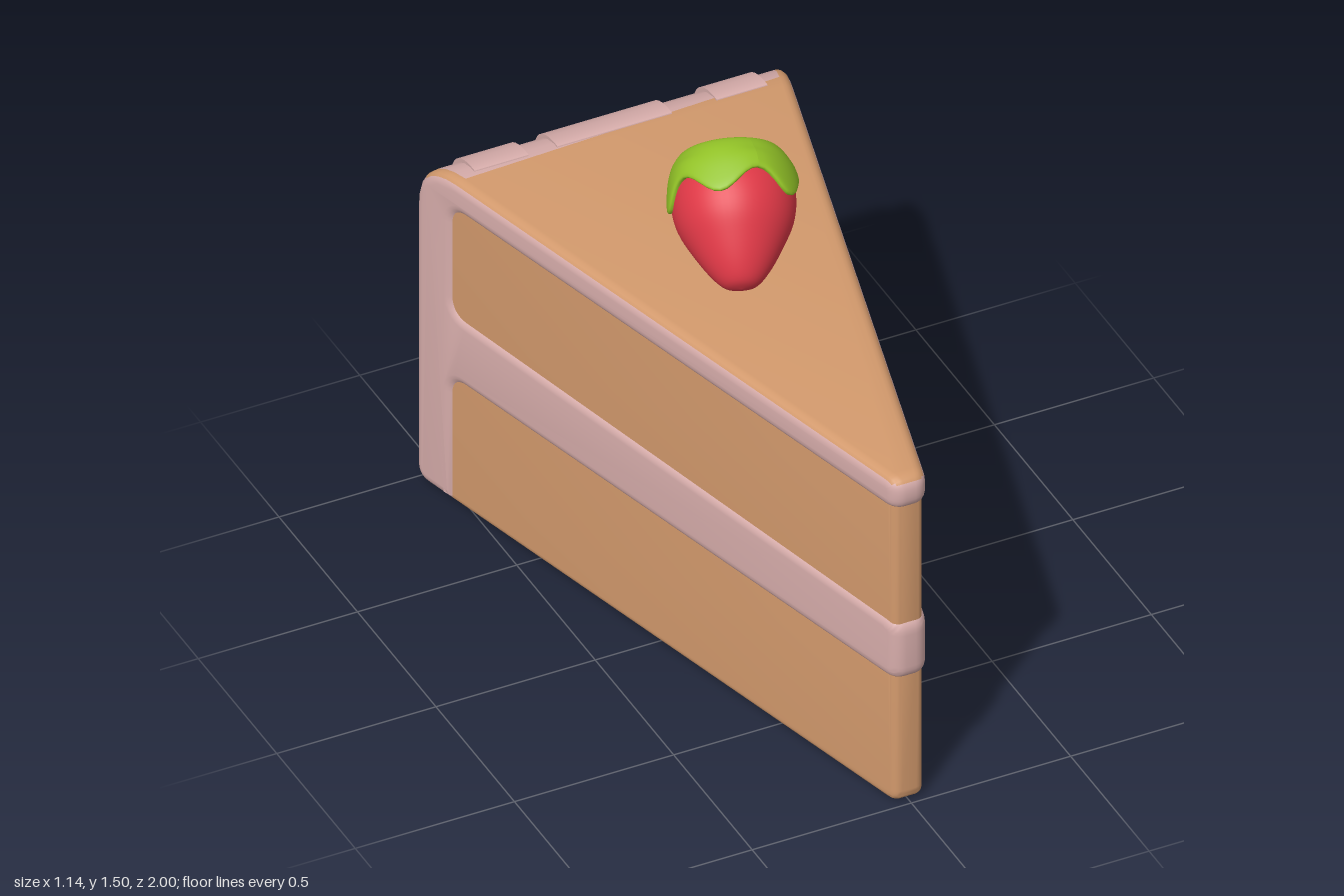
import * as THREE from 'three';
import { toCreasedNormals } from 'three/addons/utils/BufferGeometryUtils.js';

const mat = (name, color, side = THREE.FrontSide) => {
  const m = new THREE.MeshStandardMaterial({ color, side });
  m.name = name;
  return m;
};

// Half width of the slice at depth z
const halfWidth = (z) => 0.314 - 0.264 * z;

// Closed outline from [z, y, cornerRadius] points
function roundedShape(pts) {
  const shape = new THREE.Shape();
  pts.forEach(([x, y, r], i) => {
    const p = new THREE.Vector2(x, y);
    const toward = (q) => p.clone().add(new THREE.Vector2(q[0] - x, q[1] - y).setLength(r));
    const a = toward(pts[(i + pts.length - 1) % pts.length]);
    const b = toward(pts[(i + 1) % pts.length]);
    if (i === 0) shape.moveTo(a.x, a.y);
    else shape.lineTo(a.x, a.y);
    shape.quadraticCurveTo(x, y, b.x, b.y);
  });
  shape.closePath();
  return shape;
}

// Side outline extruded across x, then tapered to the wedge plan
function wedge(pts, bevel, inset) {
  const geo = new THREE.ExtrudeGeometry(roundedShape(pts), {
    depth: 2 - 2 * bevel, bevelThickness: bevel, bevelSize: bevel,
    bevelOffset: -bevel, bevelSegments: 5, curveSegments: 7,
  });
  geo.translate(0, 0, bevel - 1).rotateY(-Math.PI / 2);
  const p = geo.attributes.position;
  for (let i = 0; i < p.count; i++) {
    const x = p.getX(i);
    p.setX(i, Math.sign(x) * (halfWidth(p.getZ(i)) - inset - (1 - Math.abs(x))));
  }
  geo.clearGroups();
  return toCreasedNormals(geo, 0.7);
}

// Group 1 = upward faces on the top of the slice, group 0 = the rest
function splitTop(geo) {
  const p = geo.attributes.position;
  const v = [0, 1, 2].map(() => new THREE.Vector3());
  const tri = new THREE.Triangle(...v);
  const n = new THREE.Vector3(), c = new THREE.Vector3();
  let start = 0, last = -1;
  for (let i = 0; i < p.count; i += 3) {
    v.forEach((q, k) => q.fromBufferAttribute(p, i + k));
    tri.getNormal(n);
    tri.getMidpoint(c);
    const corner = Math.abs(c.x) > halfWidth(c.z) - 0.06 && c.z > -0.96;
    const kind = c.y > 1 && n.y > 0.5 && (c.z > -0.85 || corner) ? 1 : 0;
    if (kind !== last) {
      if (last >= 0) geo.addGroup(start, i - start, last);
      start = i;
      last = kind;
    }
  }
  geo.addGroup(start, p.count - start, last);
  return geo;
}

// Smooth profile of [radius, height] points turned about y
function turned(pts) {
  const curve = new THREE.SplineCurve(pts.map(([r, y]) => new THREE.Vector2(r, y)));
  const ring = curve.getPoints(36).map((q) => new THREE.Vector2(Math.max(q.x, 0), q.y));
  return new THREE.LatheGeometry(ring, 60);
}

export function createModel() {
  const sponge = mat('sponge tan', 0xd2996c);
  const icing = mat('icing pink', 0xd6acaa);
  const red = mat('berry red', 0xdf3846);
  const green = mat('leaf green', 0x92c227, THREE.DoubleSide);

  const model = new THREE.Group();
  model.name = 'cakeSlice';
  const add = (parent, name, geo, material) => {
    const mesh = new THREE.Mesh(geo, material);
    mesh.name = name;
    parent.add(mesh);
    return mesh;
  };

  // Icing: top layer, middle layer and back wall in one piece, tan on top
  const icingGeo = wedge([
    [1, 1.135, 0.05], [-1, 1.135, 0.17], [-1, 0.003, 0.06], [-0.84, 0.003, 0.02],
    [-0.84, 0.43, 0.05], [1, 0.43, 0.05], [1, 0.64, 0.05], [-0.84, 0.67, 0.05],
    [-0.84, 1.025, 0.05], [1, 1.025, 0.05],
  ], 0.035, 0);
  add(model, 'icing', splitTop(icingGeo), [icing, sponge]);

  // Sponge layers, tucked into the icing
  [['lowerSponge', 0, 0.49], ['upperSponge', 0.58, 1.08]].forEach(([name, y0, y1]) => {
    const geo = wedge([
      [0.987, y0, 0.04], [0.987, y1, 0.04], [-0.92, y1, 0.04], [-0.92, y0, 0.04],
    ], 0.022, 0.01);
    add(model, name, geo, sponge);
  });

  // Shallow smoothed bands of icing down the back
  const bandShape = roundedShape([
    [-0.85, 1.138, 0.005], [-1.003, 1.138, 0.145], [-1.003, 0.045, 0.005], [-0.85, 0.045, 0.005],
  ]);
  [[-0.46, -0.29], [-0.2, 0.16], [0.3, 0.46]].forEach(([x0, x1]) => {
    const geo = new THREE.ExtrudeGeometry(bandShape, { depth: x1 - x0, bevelEnabled: false, curveSegments: 10 });
    geo.rotateY(-Math.PI / 2).translate(x1, 0, 0);
    add(model, 'icingBand', toCreasedNormals(geo, 0.7), icing);
  });

  // Strawberry, lying with its tip toward the front
  const berry = new THREE.Group();
  berry.name = 'strawberry';
  berry.position.set(-0.04, 1.148, 0);
  berry.quaternion.setFromUnitVectors(
    new THREE.Vector3(0, 1, 0), new THREE.Vector3(0.11, 0.22, -0.3).normalize());
  model.add(berry);

  add(berry, 'berryBody', turned([
    [0, 0], [0.045, 0.01], [0.085, 0.05], [0.13, 0.12], [0.165, 0.19],
    [0.177, 0.26], [0.165, 0.32], [0.11, 0.36], [0, 0.37],
  ]), red);

  // Leaf cap with a scalloped rim and a dimple on top
  const cap = turned([
    [0.165, 0.275], [0.186, 0.272], [0.188, 0.3], [0.175, 0.355],
    [0.14, 0.405], [0.1, 0.408], [0.05, 0.385], [0, 0.378],
  ]);
  const p = cap.attributes.position;
  for (let i = 0; i < p.count; i++) {
    const y = p.getY(i);
    const w = THREE.MathUtils.clamp((0.37 - y) / 0.09, 0, 1);
    p.setY(i, y + 0.033 * w * Math.sin(5 * Math.atan2(p.getZ(i), p.getX(i))));
  }
  cap.computeVertexNormals();
  add(berry, 'leafCap', cap, green);

  return model;
}
